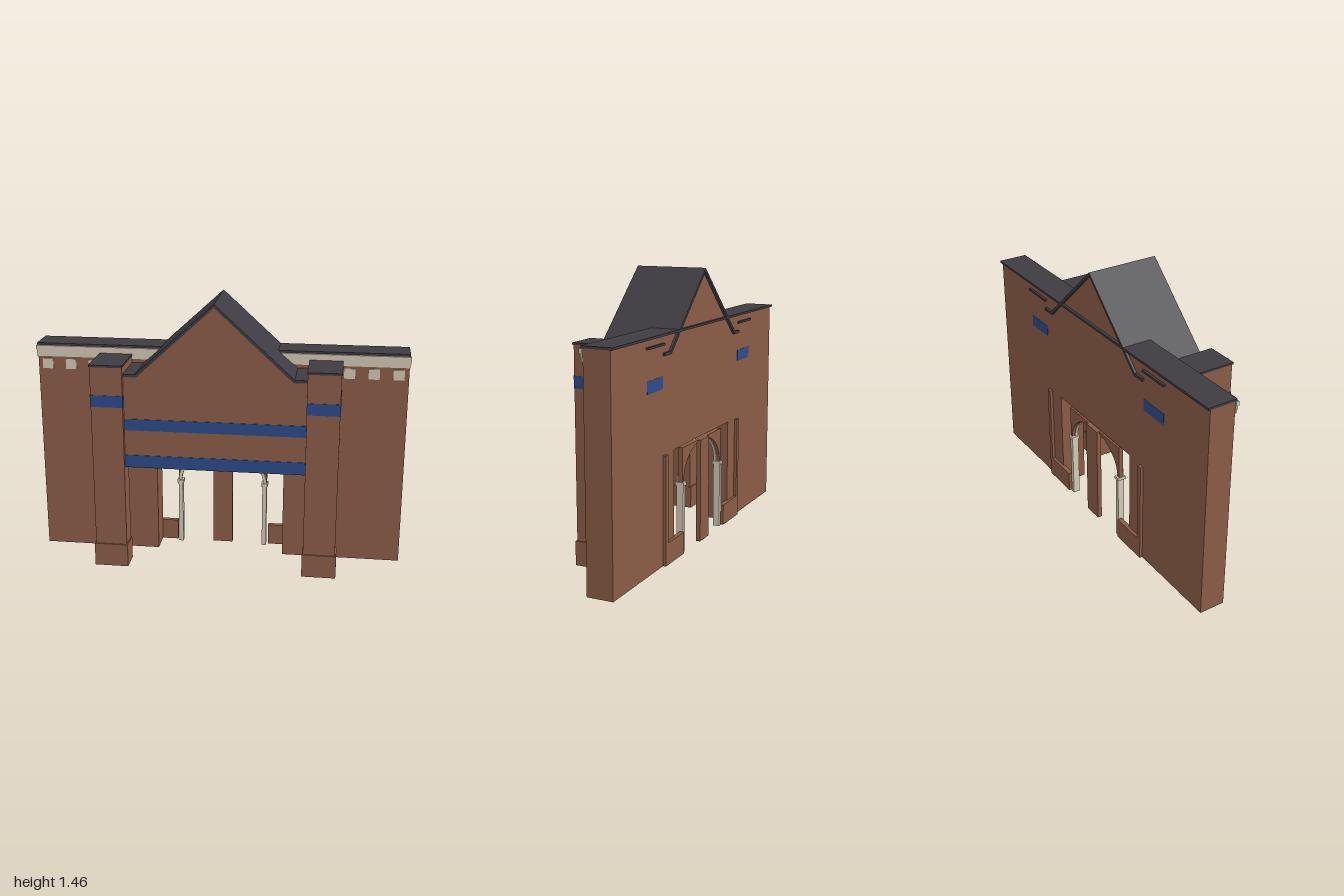
import * as THREE from 'three';

const mat = (name, color) => {
  const m = new THREE.MeshStandardMaterial({ color });
  m.name = name;
  return m;
};

export function createModel() {
  const brick = mat('brick', 0x8b5d46);
  const blue = mat('blueTile', 0x2b4c8a);
  const cream = mat('creamStone', 0xd3cbb5);
  const slate = mat('darkRoof', 0x3e3c42);

  const model = new THREE.Group();
  model.name = 'gatehouse';

  const add = (name, geometry, material) => {
    const mesh = new THREE.Mesh(geometry, material);
    mesh.name = name;
    model.add(mesh);
    return mesh;
  };
  // Box given by its limits on each axis
  const box = (name, material, x0, x1, y0, y1, z0, z1) => {
    const g = new THREE.BoxGeometry(x1 - x0, y1 - y0, z1 - z0);
    g.translate((x0 + x1) / 2, (y0 + y1) / 2, (z0 + z1) / 2);
    return add(name, g, material);
  };
  // The same box on both sides of the middle
  const pair = (name, material, x0, x1, ...rest) => {
    box(name + 'Left', material, x0, x1, ...rest);
    box(name + 'Right', material, -x1, -x0, ...rest);
  };
  // Outline in x and y, extruded from z0 to z1
  const slab = (name, material, points, z0, z1) => {
    const shape = new THREE.Shape(points.map(([x, y]) => new THREE.Vector2(x, y)));
    const g = new THREE.ExtrudeGeometry(shape, { depth: z1 - z0, bevelEnabled: false });
    g.translate(0, 0, z0);
    return add(name, g, material);
  };
  const mirrored = (half) => [...half, ...half.map(([x, y]) => [-x, y]).reverse()];

  // Long wall with a rectangular gateway
  slab('mainWall', brick, mirrored([[0.35, 0.575], [0.35, 0], [0.993, 0], [0.993, 1.165]]), -0.19, -0.05);
  box('wallCap', slate, -0.995, 0.995, 1.165, 1.177, -0.203, -0.042);

  // Stepped cornice and square blocks along the front of the wall
  box('corniceLower', cream, -0.996, 0.996, 1.103, 1.122, -0.05, -0.043);
  box('corniceMiddle', cream, -0.998, 0.998, 1.122, 1.142, -0.05, -0.039);
  box('corniceUpper', cream, -1, 1, 1.142, 1.164, -0.05, -0.034);
  for (const x of [0.685, 0.812, 0.94]) {
    pair('corniceBlock', cream, x - 0.029, x + 0.029, 1.035, 1.09, -0.051, -0.044);
  }

  // Gabled porch block over the passage
  slab('porchBlock', brick, mirrored([[0.476, 0.576], [0.476, 1.07], [0.405, 1.07], [0, 1.443]]), -0.188, 0.185);
  box('porchSoffit', slate, -0.475, 0.475, 0.57, 0.577, -0.049, 0.184);
  box('porchStripeLower', blue, -0.476, 0.476, 0.574, 0.64, 0.182, 0.188);
  box('porchStripeUpper', blue, -0.476, 0.476, 0.778, 0.84, 0.182, 0.188);

  // Thin roof following the gable
  slab('gableRoof', slate, [
    [0.476, 1.068], [0.476, 1.083], [0.412, 1.083], [0, 1.46], [-0.412, 1.083], [-0.476, 1.083],
    [-0.476, 1.068], [-0.405, 1.068], [0, 1.442], [0.405, 1.068],
  ], -0.203, 0.191);

  // Corner piers carrying the porch
  pair('pierBase', brick, 0.472, 0.654, 0, 0.127, 0.093, 0.212);
  pair('pierShaft', brick, 0.477, 0.647, 0.12, 0.576, 0.1, 0.205);
  pair('pierTop', brick, 0.477, 0.647, 0.575, 1.12, -0.06, 0.205);
  pair('pierStripe', blue, 0.476, 0.649, 0.905, 0.968, -0.06, 0.207);
  pair('pierCap', slate, 0.474, 0.651, 1.12, 1.131, -0.203, 0.211);
  pair('backTile', blue, 0.476, 0.645, 0.905, 0.968, -0.1915, -0.187);

  // Gateway infill: centre post, low walls and raised side strips
  box('centrePost', brick, -0.055, 0.055, 0, 0.561, -0.205, -0.18);
  pair('lowWall', brick, 0.26, 0.476, 0, 0.116, -0.206, -0.18);
  pair('sideStrip', brick, 0.449, 0.476, 0.116, 0.572, -0.206, -0.185);

  // Slim columns with capitals
  pair('archColumn', cream, 0.226, 0.25, 0, 0.362, -0.195, -0.157);
  pair('archCapital', cream, 0.22, 0.256, 0.36, 0.377, -0.2, -0.152);

  // Elliptical arch: points from right spring over the crown to the left
  const ellipse = (rx, ry) => Array.from({ length: 33 }, (_, i) => {
    const a = (Math.PI * i) / 32;
    return [rx * Math.cos(a), 0.377 + ry * Math.sin(a)];
  });
  slab('archSpandrel', brick,
    [...ellipse(0.235, 0.178), [-0.25, 0.377], [-0.25, 0.561], [0.25, 0.561], [0.25, 0.377]], -0.19, -0.165);
  slab('archRing', cream, [...ellipse(0.246, 0.191), ...ellipse(0.23, 0.175).reverse()], -0.172, -0.157);

  return model;
}
